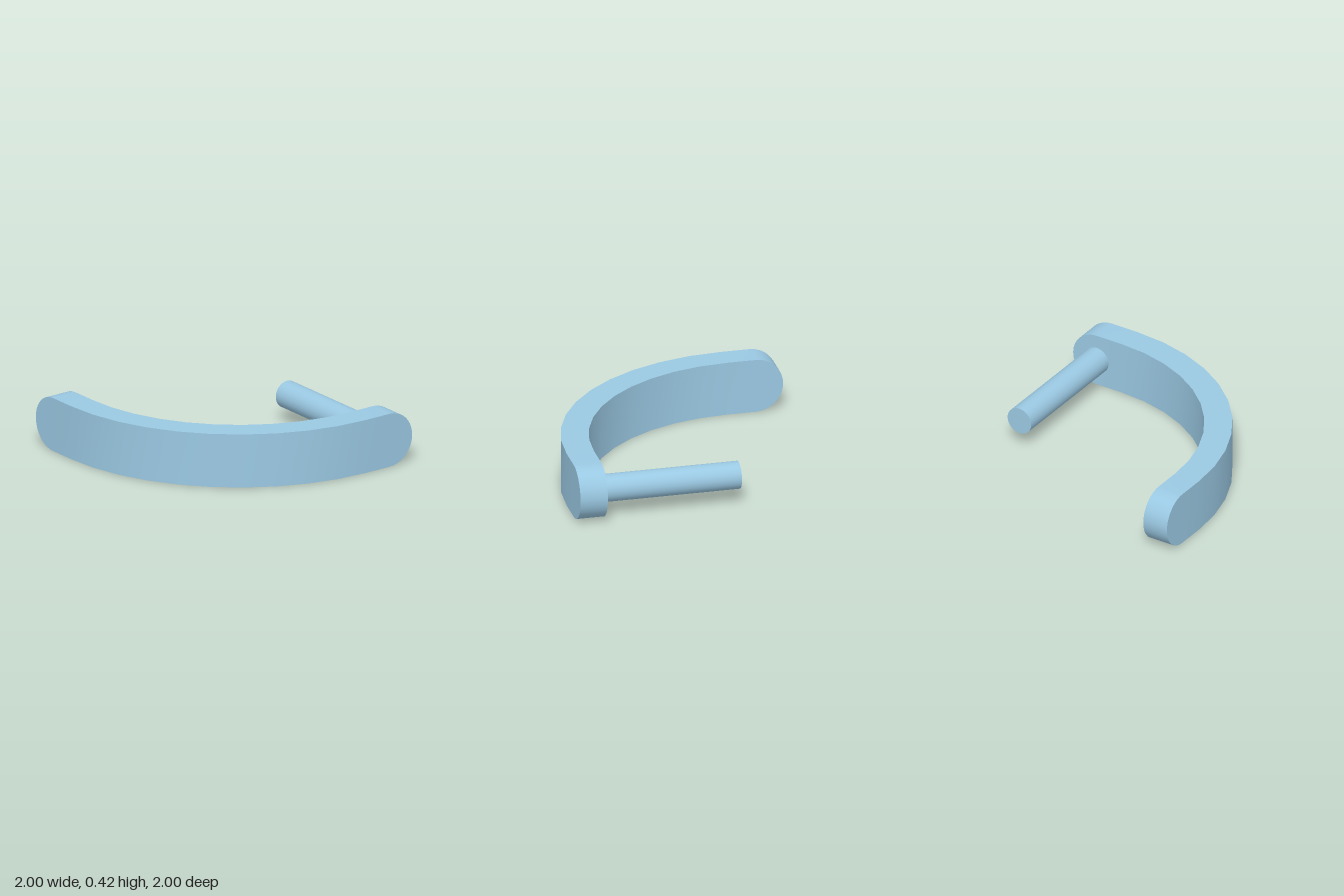
import * as THREE from 'three';
import { toCreasedNormals } from 'three/addons/utils/BufferGeometryUtils.js';

const R = 0.21;                     // half height of the band, also its thickness
const CX = 0.57, CZ = -0.57;        // centre of the bend
const OUTER = 1.57, INNER = OUTER - R;

// Cross-sections along the band: outer and inner plan points plus half height
function bandStations() {
  const list = [];
  const steps = 10;
  // rounded tip on the side arm
  for (let i = 0; i <= steps; i++) {
    const a = (i / steps) * Math.PI / 2;
    const z = -1 + R * (1 - Math.cos(a));
    list.push({ o: [-1, z], n: [-1 + R, z], h: R * Math.sin(a) });
  }
  // quarter bend in ten straight facets
  for (let i = 0; i <= 10; i++) {
    const a = (i / 10) * Math.PI / 2, c = Math.cos(a), s = Math.sin(a);
    list.push({ o: [CX - OUTER * c, CZ + OUTER * s], n: [CX - INNER * c, CZ + INNER * s], h: R });
  }
  // rounded tip on the front arm
  for (let i = steps; i >= 0; i--) {
    const a = (i / steps) * Math.PI / 2;
    const x = 1 - R * (1 - Math.cos(a));
    list.push({ o: [x, 1], n: [x, 1 - R], h: R * Math.sin(a) });
  }
  return list;
}

// Skin the rectangular cross-sections into a closed solid
function bandGeometry() {
  const rings = bandStations().map(({ o, n, h }) => [
    [o[0], R + h, o[1]], [n[0], R + h, n[1]],
    [n[0], R - h, n[1]], [o[0], R - h, o[1]],
  ]);
  const pos = [];
  for (let i = 0; i < rings.length - 1; i++) {
    for (let k = 0; k < 4; k++) {
      const m = (k + 1) % 4;
      const a = rings[i][k], b = rings[i][m], c = rings[i + 1][m], d = rings[i + 1][k];
      const upright = k % 2 === 1;
      // the upright faces close to a line at both tips
      if (!(upright && i === rings.length - 2)) pos.push(...a, ...d, ...c);
      if (!(upright && i === 0)) pos.push(...a, ...c, ...b);
    }
  }
  const geo = new THREE.BufferGeometry();
  geo.setAttribute('position', new THREE.Float32BufferAttribute(pos, 3));
  return toCreasedNormals(geo, Math.PI / 5);
}

export function createModel() {
  const group = new THREE.Group();
  group.name = 'curvedHook';
  const material = new THREE.MeshStandardMaterial({ color: 0x9ac8e2 });

  // curved band with rounded ends
  const band = new THREE.Mesh(bandGeometry(), material);
  band.name = 'curvedBand';
  group.add(band);

  // round pin standing on the inner face of the front arm
  const back = -0.265, front = 0.8;
  const pin = new THREE.Mesh(new THREE.CylinderGeometry(R / 2, R / 2, front - back, 40), material);
  pin.name = 'pin';
  pin.rotation.x = Math.PI / 2;
  pin.position.set(1 - R, R, (front + back) / 2);
  group.add(pin);

  return group;
}
